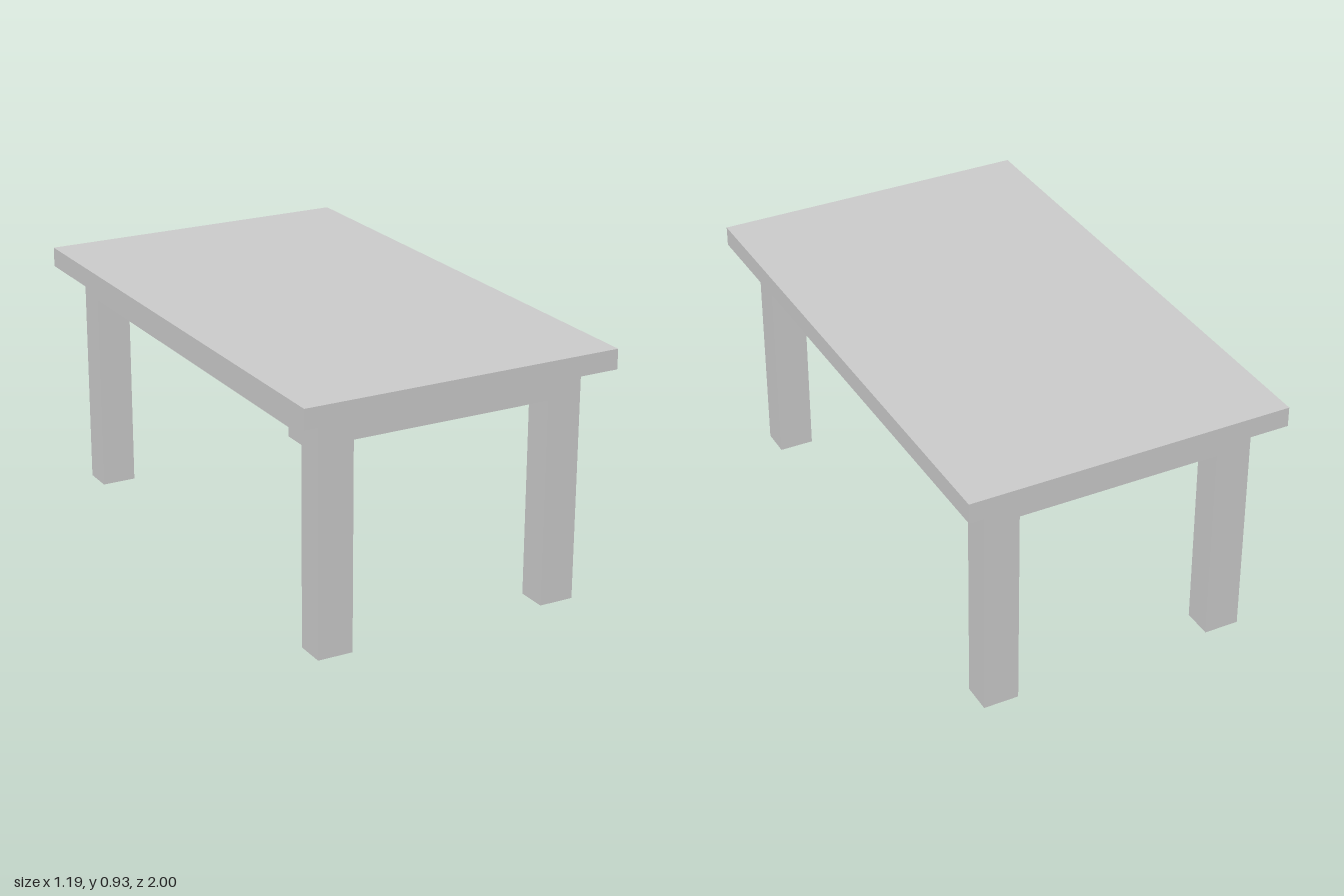
import * as THREE from 'three';

export function createModel() {
  const group = new THREE.Group();
  const material = new THREE.MeshStandardMaterial({ color: 0xcccccc });

  // Box centred on (x, z) spanning y0 to y1
  const addBox = (name, width, depth, y0, y1, x, z) => {
    const mesh = new THREE.Mesh(new THREE.BoxGeometry(width, y1 - y0, depth), material);
    mesh.name = name;
    mesh.position.set(x, (y0 + y1) / 2, z);
    group.add(mesh);
  };

  const underside = 0.852, apronBottom = 0.755;
  const legW = 0.13, legD = 0.112;
  const legX = 0.438, legZ = 0.867;

  addBox('tableTop', 1.19, 2, underside, 0.925, 0, 0);

  // Four legs at the corners
  for (const [sx, side] of [[1, 'Left'], [-1, 'Right']])
    for (const [sz, end] of [[1, 'front'], [-1, 'back']])
      addBox(`${end}${side}Leg`, legW, legD, 0, underside, sx * legX, sz * legZ);

  // Aprons between the legs, flush with their faces
  for (const [s, end, side] of [[1, 'front', 'left'], [-1, 'back', 'right']]) {
    addBox(`${end}Apron`, 2 * legX - legW, legD, apronBottom, underside, 0, s * legZ);
    addBox(`${side}Apron`, legW, 2 * legZ - legD, apronBottom, underside, s * legX, 0);
  }

  return group;
}
